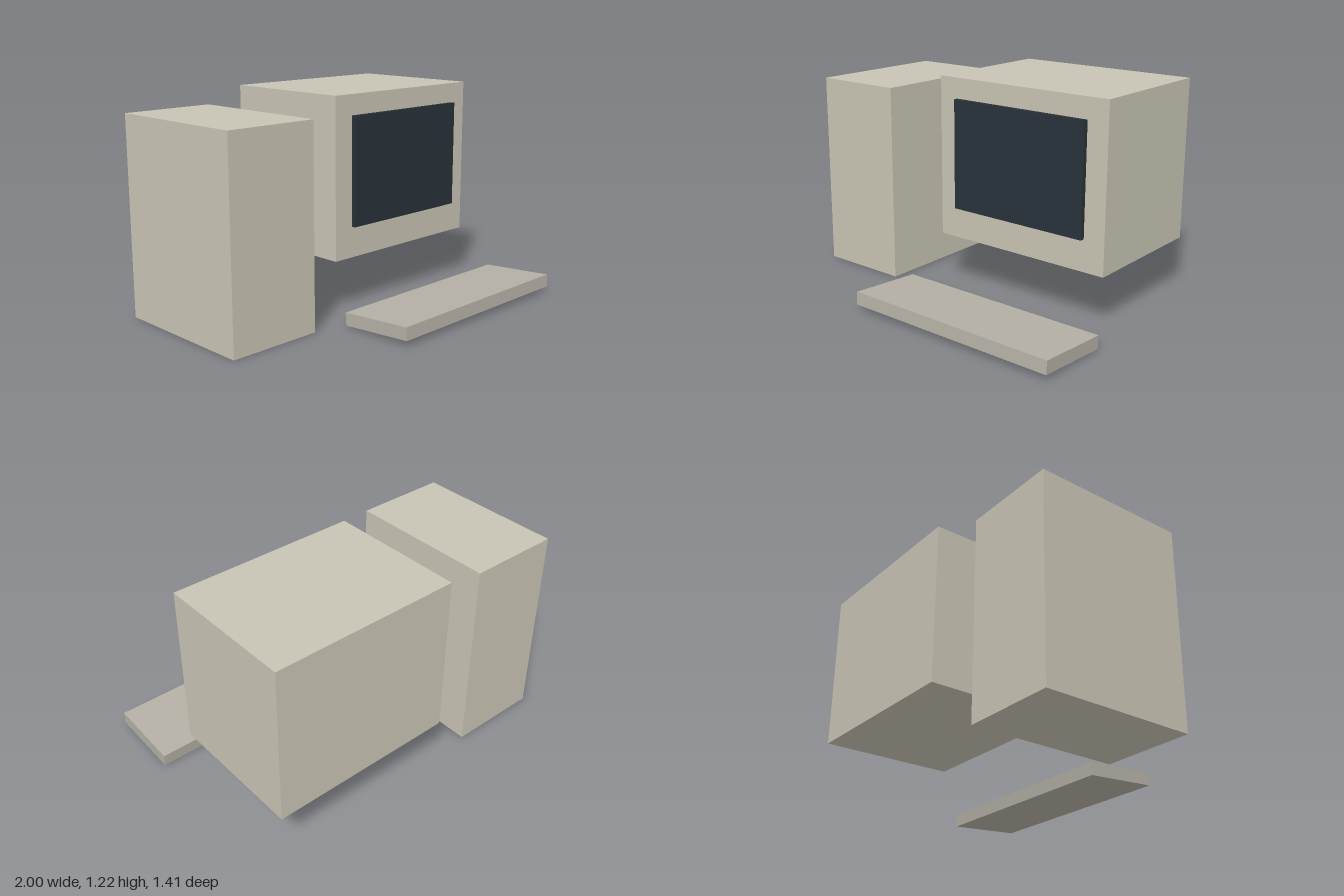
import * as THREE from 'three';

export function createModel() {
  const model = new THREE.Group();
  const caseMat = new THREE.MeshStandardMaterial({ color: 0xc8c4b4 });
  const keyMat = new THREE.MeshStandardMaterial({ color: 0xb4b0a4 });
  const screenMat = new THREE.MeshStandardMaterial({ color: 0x28323a });

  // Box given by its size and centre
  function box(name, size, centre, material) {
    const mesh = new THREE.Mesh(new THREE.BoxGeometry(...size), material);
    mesh.name = name;
    mesh.position.set(...centre);
    model.add(mesh);
    return mesh;
  }

  // Upright computer case
  box('tower', [0.544, 1.136, 0.874], [-0.728, 0.57, -0.212], caseMat);

  // Floating monitor with a raised screen panel
  box('monitor', [1.091, 0.917, 0.806], [0.364, 0.766, -0.3], caseMat);
  box('screen', [0.849, 0.622, 0.026], [0.364, 0.798, 0.12], screenMat);

  // Keyboard slab, its front edge tipped up
  const keyboard = box('keyboard', [1.27, 0.073, 0.436], [0.365, 0.056, 0.488], keyMat);
  keyboard.rotation.x = -0.07;

  return model;
}
